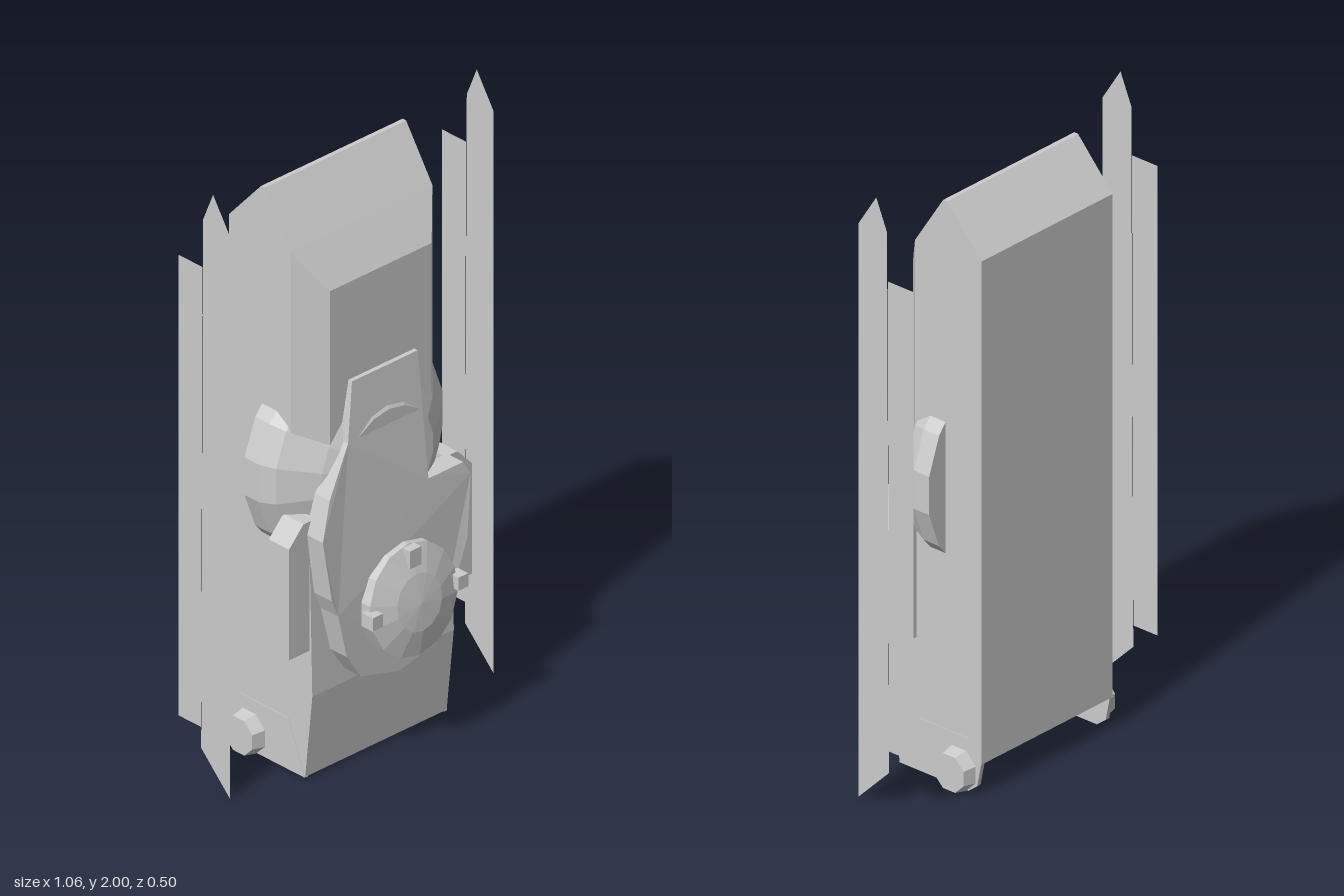
import * as THREE from 'three';

const grey = new THREE.MeshStandardMaterial({ color: 0xcccccc, flatShading: true });
const greyThin = new THREE.MeshStandardMaterial({ color: 0xcccccc, flatShading: true, side: THREE.DoubleSide });

function shapeOf(points) {
  return new THREE.Shape(points.map(([a, b]) => new THREE.Vector2(a, b)));
}

// Loft through rings of [x, y, z] points (clockwise seen from above), capped at both ends
function loft(rings) {
  const n = rings[0].length;
  const index = [];
  for (let i = 0; i < rings.length - 1; i++) {
    for (let j = 0; j < n; j++) {
      const a = i * n + j, b = i * n + (j + 1) % n;
      index.push(a, a + n, b, b, a + n, b + n);
    }
  }
  const top = (rings.length - 1) * n;
  for (let j = 1; j < n - 1; j++) {
    index.push(0, j, j + 1, top, top + j + 1, top + j);
  }
  const g = new THREE.BufferGeometry();
  g.setAttribute('position', new THREE.Float32BufferAttribute(rings.flat(2), 3));
  g.setIndex(index);
  g.computeVertexNormals();
  return g;
}

// Round part about the z axis from [radius, z] points
function turned(profile, sides) {
  const g = new THREE.LatheGeometry(profile.map(([r, z]) => new THREE.Vector2(r, z)), sides);
  return g.rotateX(Math.PI / 2);
}

export function createModel() {
  const model = new THREE.Group();
  const add = (name, geometry, material = grey) => {
    const mesh = new THREE.Mesh(geometry, material);
    mesh.name = name;
    model.add(mesh);
    return mesh;
  };
  const addBox = (name, w, h, d, x, y, z) =>
    add(name, new THREE.BoxGeometry(w, h, d)).position.set(x, y, z);

  // Main housing: [back y, front y, back z, side z, front half width, front z]
  const W = 0.285;
  const levels = [
    [0.11, 0.01, -0.25, 0.07, W, 0.07],
    [0.29, 0.29, -0.25, 0.1, W, 0.1],
    [0.72, 0.72, -0.25, 0.09, W, 0.09],
    [0.85, 0.85, -0.25, 0.01, 0.205, 0.09],
    [1.61, 1.61, -0.25, 0.01, 0.205, 0.09],
    [1.74, 1.74, -0.25, 0.01, W, 0.01],
    [1.76, 1.76, -0.25, -0.003, W, -0.003],
    [1.91, 1.91, -0.115, -0.1, W, -0.1],
  ];
  add('housing', loft(levels.map(([yb, yf, zb, zs, xf, zf]) => [
    [-W, yb, zb], [W, yb, zb], [W, yf, zs], [xf, yf, zf], [-xf, yf, zf], [-W, yf, zs],
  ])));

  // Faceted drum bulging out of both sides of the housing
  add('drum', turned([[0, -0.11], [0.362, -0.11], [0.362, -0.05], [0.34, 0], [0.24, 0.09], [0.18, 0.125], [0, 0.125]], 18))
    .position.y = 0.97;

  // Front cover plate, its face leaning back towards the top
  const cover = new THREE.ExtrudeGeometry(shapeOf([
    [-0.13, 1.285], [-0.165, 1.1], [-0.255, 0.95], [-0.295, 0.83], [-0.27, 0.63], [-0.245, 0.57],
    [-0.21, 0.42], [-0.155, 0.335], [0, 0.292], [0.15, 0.325], [0.2, 0.375], [0.245, 0.55],
    [0.275, 0.63], [0.3, 0.83], [0.275, 0.875], [0.135, 0.875], [0.135, 1.285],
  ]), { depth: 1, bevelEnabled: false });
  const p = cover.attributes.position;
  for (let i = 0; i < p.count; i++) {
    const y = p.getY(i);
    const front = y > 0.72 ? 0.167 - 0.11 * (y - 0.72) : 0.167;
    p.setZ(i, p.getZ(i) > 0.5 ? front : 0.08);
  }
  add('coverPlate', cover);

  // Dial whose face tilts upwards
  const dial = turned([[0.175, 0], [0.175, 0.045], [0.09, 0.07], [0, 0.078]], 14);
  const d = dial.attributes.position;
  for (let i = 0; i < d.count; i++) {
    if (d.getZ(i) > 0.01) d.setZ(i, d.getZ(i) - 0.15 * d.getY(i));
  }
  add('dial', dial).position.set(0.02, 0.54, 0.163);
  addBox('dialTopTab', 0.046, 0.06, 0.035, 0.022, 0.68, 0.196);
  for (const s of [-1, 1]) addBox('dialSideTab', 0.04, 0.044, 0.045, 0.022 + s * 0.172, 0.54, 0.212);

  for (const s of [-1, 1]) {
    const side = s > 0 ? 'left' : 'right';

    // Block on the side of the housing
    const block = new THREE.ExtrudeGeometry(shapeOf(
      [[0.26, 0.44], [0.368, 0.44], [0.368, 0.81], [0.31, 0.872], [0.26, 0.872]].map(([x, y]) => [s * x, y])
    ), { depth: 0.085, bevelEnabled: false });
    add(side + 'Block', block.translate(0, 0, 0.004));

    // Bottom cheek and pivot stub
    const cheek = new THREE.ExtrudeGeometry(shapeOf([
      [0.07, 0.008], [-0.2, 0.008], [-0.235, 0.035], [-0.25, 0.11], [-0.2, 0.18], [0, 0.18],
    ]), { depth: 0.015, bevelEnabled: false });
    cheek.rotateY(-Math.PI / 2).translate(s > 0 ? 0.287 : -0.272, 0, 0);
    add(side + 'Cheek', cheek);

    const pivot = new THREE.CylinderGeometry(0.062, 0.072, 0.045, 8);
    pivot.rotateY(Math.PI / 8).rotateZ(-s * Math.PI / 2);
    add(side + 'Pivot', pivot).position.set(s * 0.307, 0.07, -0.163);

    // Thin pointed side blade with a narrower strip behind it
    const sheets = {
      Blade: [[0.01, 0.01], [-0.11, 0.13], [-0.102, 1.9], [-0.06, 2], [0.01, 1.89]],
      Strip: [[-0.11, 0.2], [-0.205, 0.2], [-0.205, 1.74], [-0.105, 1.74]],
    };
    for (const [name, points] of Object.entries(sheets)) {
      const sheet = new THREE.ShapeGeometry(shapeOf(points)).rotateY(-Math.PI / 2);
      add(side + name, sheet, greyThin).position.x = s * 0.531;
    }
  }
  return model;
}
